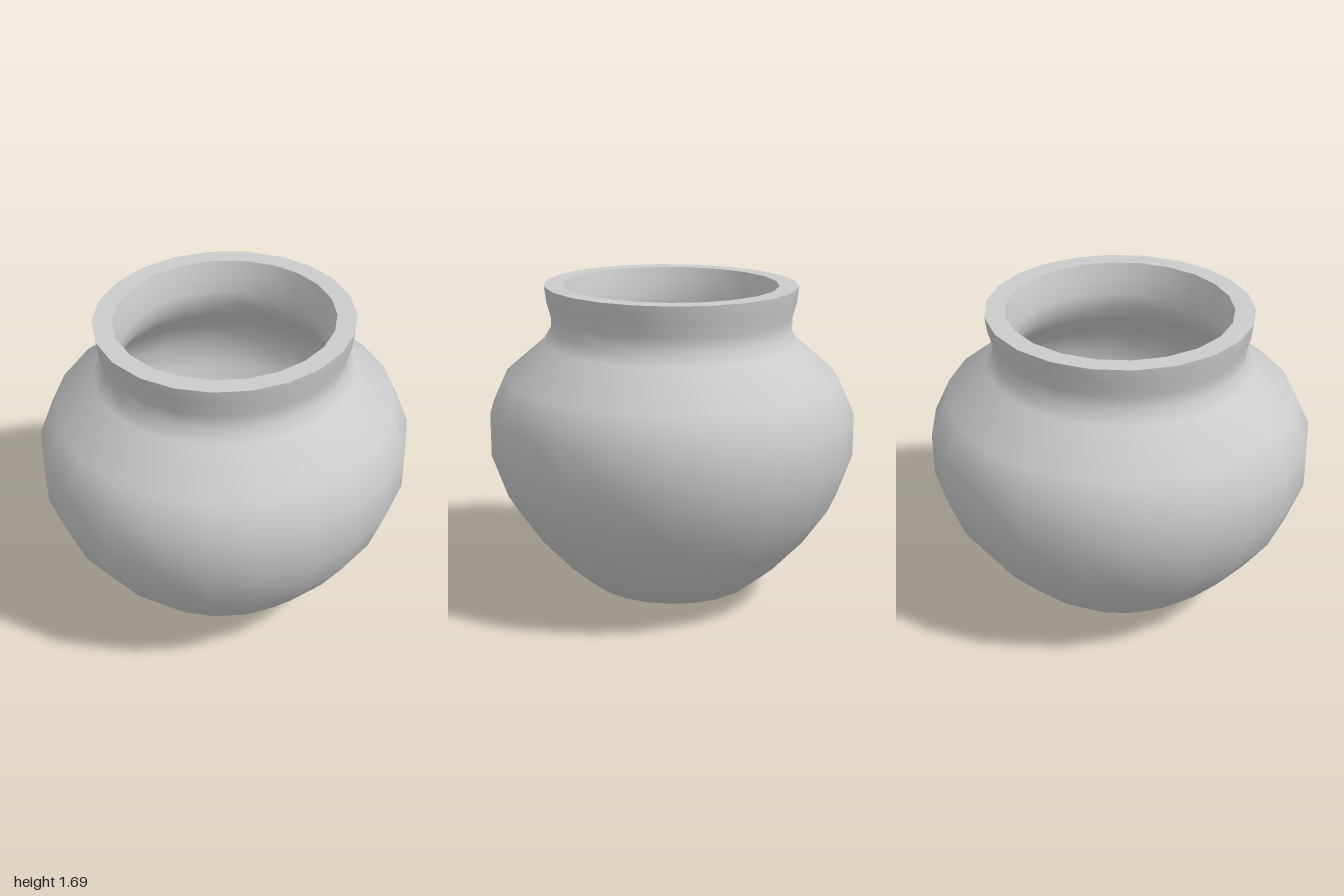
import * as THREE from 'three';

const SIDES = 22;
const SCALE_X = 0.957; // the pot is slightly oval

// Uneven spacing of the facets: 12 on the left half, 10 on the right half
function facetAngle(i) {
  const start = -4.6, half = 189.2;
  const deg = i <= 12 ? start + (i * half) / 12 : start + half + ((i - 12) * (360 - half)) / 10;
  return THREE.MathUtils.degToRad(deg);
}

// Revolve a [radius, height] profile, then shift the facets to their angles
function revolve(name, profile, material) {
  const points = profile.map(([r, y]) => new THREE.Vector2(r, y));
  const geometry = new THREE.LatheGeometry(points, SIDES);
  const { position, normal } = geometry.attributes;
  const up = new THREE.Vector3(0, 1, 0);
  const v = new THREE.Vector3();
  for (let k = 0; k < position.count; k++) {
    const i = Math.floor(k / profile.length);
    const turn = facetAngle(i) - (i * 2 * Math.PI) / SIDES;
    for (const attribute of [position, normal]) {
      v.fromBufferAttribute(attribute, k).applyAxisAngle(up, turn);
      attribute.setXYZ(k, v.x, v.y, v.z);
    }
  }
  geometry.scale(SCALE_X, 1, 1);
  const mesh = new THREE.Mesh(geometry, material);
  mesh.name = name;
  return mesh;
}

export function createModel() {
  const pot = new THREE.Group();
  pot.name = 'pot';
  const clay = new THREE.MeshStandardMaterial({ color: 0xcccccc, side: THREE.DoubleSide });

  // Outside: pointed base, round belly, narrow neck, flared collar
  const outer = [
    [0, 0], [0.13, 0.03], [0.35, 0.05], [0.47, 0.085], [0.61, 0.2], [0.78, 0.38],
    [0.915, 0.57], [1, 0.8], [1, 1.03], [0.915, 1.21], [0.7, 1.39],
    [0.657, 1.46], [0.657, 1.53], [0.68, 1.61], [0.69, 1.69],
  ];
  // Flat top of the rim
  const rim = [[0.69, 1.69], [0.585, 1.69]];
  // Inside, from the lip down to the floor
  const inner = [
    [0.585, 1.69], [0.565, 1.61], [0.55, 1.52], [0.555, 1.44], [0.62, 1.34], [0.82, 1.16],
    [0.9, 1], [0.9, 0.83], [0.82, 0.61], [0.69, 0.43], [0.53, 0.26], [0.38, 0.16], [0, 0.13],
  ];

  pot.add(
    revolve('outerWall', outer, clay),
    revolve('rim', rim, clay),
    revolve('innerWall', inner, clay),
  );
  return pot;
}
